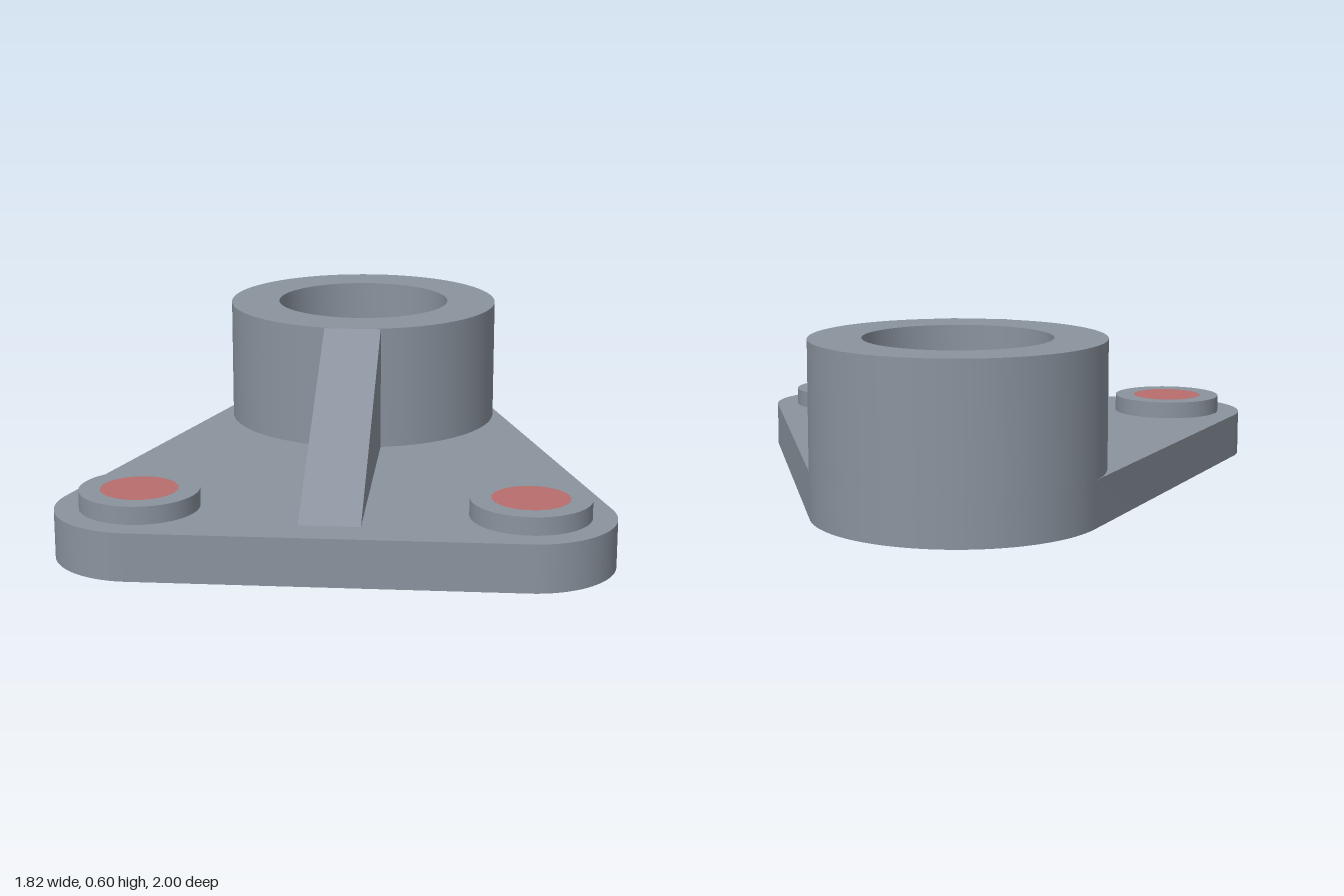
import * as THREE from 'three';
import { toCreasedNormals } from 'three/addons/utils/BufferGeometryUtils.js';

const steel = new THREE.MeshStandardMaterial({ name: 'steel grey', color: 0x8a939e });
const red = new THREE.MeshStandardMaterial({ name: 'muted red', color: 0xb86e6c });

// Main dimensions
const plateTop = 0.16, bossTop = 0.22, collarTop = 0.595;
const collar = { z: -0.505, outer: 0.495, inner: 0.317 };
const bolt = { x: 0.633, z: 0.72, boss: 0.197, hole: 0.127 };
const corner = { x: 0.63, z: 0.72, r: 0.28 };

// Shapes are drawn in plan with shape y = -z
function circle(x, z, r, Type = THREE.Shape) {
  const path = new Type();
  path.absarc(x, -z, r, 0, Math.PI * 2, false);
  return path;
}

// Extrude a plan shape upwards from y0 to y1
function slab(name, shape, y0, y1) {
  const geo = new THREE.ExtrudeGeometry(shape, { depth: y1 - y0, bevelEnabled: false, curveSegments: 48 });
  geo.rotateX(-Math.PI / 2).translate(0, y0, 0);
  const mesh = new THREE.Mesh(toCreasedNormals(geo, 0.25), steel);
  mesh.name = name;
  return mesh;
}

// Outline of straight flanks tangent to the collar and the two front corners
function plateShape() {
  const dx = corner.x, dy = -corner.z + collar.z;
  const a = Math.atan2(dy, dx) + Math.acos((collar.outer - corner.r) / Math.hypot(dx, dy));
  const s = new THREE.Shape();
  s.absarc(0, -collar.z, collar.outer, a, Math.PI - a, false);
  s.absarc(-corner.x, -corner.z, corner.r, Math.PI - a, Math.PI * 1.5, false);
  s.absarc(corner.x, -corner.z, corner.r, Math.PI * 1.5, Math.PI * 2 + a, false);
  s.closePath();
  s.holes.push(circle(0, collar.z, collar.inner, THREE.Path));
  for (const side of [-1, 1]) s.holes.push(circle(side * bolt.x, bolt.z, bolt.hole, THREE.Path));
  return s;
}

export function createModel() {
  const group = new THREE.Group();
  group.name = 'mountingBracket';

  group.add(slab('basePlate', plateShape(), 0, plateTop));

  // Upright collar around the bore
  const ring = circle(0, collar.z, collar.outer);
  ring.holes.push(circle(0, collar.z, collar.inner, THREE.Path));
  group.add(slab('collar', ring, plateTop, collarTop));

  // Bosses with red plugs running through the plate
  for (const side of [-1, 1]) {
    const label = side > 0 ? 'left' : 'right';
    const boss = circle(side * bolt.x, bolt.z, bolt.boss);
    boss.holes.push(circle(side * bolt.x, bolt.z, bolt.hole, THREE.Path));
    group.add(slab(label + 'Boss', boss, plateTop, bossTop));

    const plug = new THREE.Mesh(new THREE.CylinderGeometry(bolt.hole, bolt.hole, bossTop, 48), red);
    plug.name = label + 'BoltPlug';
    plug.position.set(side * bolt.x, bossTop / 2, bolt.z);
    group.add(plug);
  }

  // Sloping rib, drawn in side profile (z, y), with its rear end inside the collar
  const profile = new THREE.Shape([[-0.1, plateTop], [0.878, plateTop], [-0.01, collarTop], [-0.1, 0.59]]
    .map(([z, y]) => new THREE.Vector2(z, y)));
  const ribGeo = new THREE.ExtrudeGeometry(profile, { depth: 0.2, bevelEnabled: false });
  ribGeo.rotateY(-Math.PI / 2).translate(0.1, 0, 0);
  const rib = new THREE.Mesh(ribGeo, steel);
  rib.name = 'rib';
  group.add(rib);

  return group;
}
